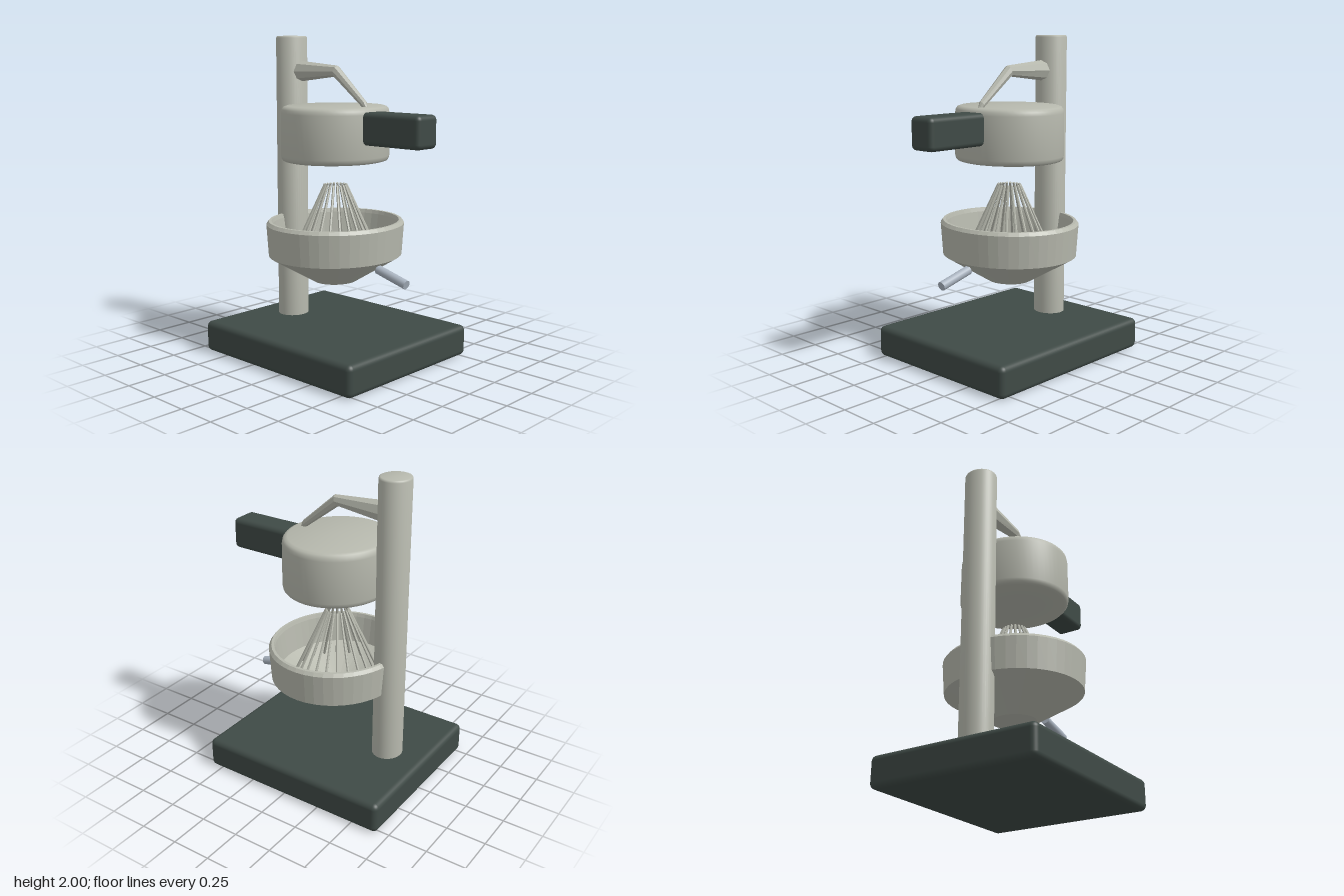
import * as THREE from 'three';
import { toCreasedNormals } from 'three/addons/utils/BufferGeometryUtils.js';
import { RoundedBoxGeometry } from 'three/addons/geometries/RoundedBoxGeometry.js';

const Z_SQUASH = 0.93; // round parts are slightly oval, shallower in z
const AXIS_Z = -0.045; // shared axis of bowl, reamer and press head

export function createModel() {
  const model = new THREE.Group();
  const metal = new THREE.MeshStandardMaterial({ color: 0xb6b8ad });
  const metalFlat = new THREE.MeshStandardMaterial({ color: 0xb6b8ad, flatShading: true });
  const dark = new THREE.MeshStandardMaterial({ color: 0x3f4a46 });
  const steel = new THREE.MeshStandardMaterial({ color: 0xa9b3bf });

  const add = (name, geometry, material, x = 0, y = 0, z = 0, parent = model) => {
    const mesh = new THREE.Mesh(geometry, material);
    mesh.name = name;
    mesh.position.set(x, y, z);
    parent.add(mesh);
    return mesh;
  };
  const turned = (name, profile, segments, crease, material, z) => {
    const points = profile.map(([r, y]) => new THREE.Vector2(r, y));
    const lathe = toCreasedNormals(new THREE.LatheGeometry(points, segments), crease);
    add(name, lathe, material, 0, 0, z).scale.z = Z_SQUASH;
  };
  // Cylinder running between two points
  const rod = (name, a, b, ra, rb, sides, material, parent = model) => {
    const axis = b.clone().sub(a);
    const mid = a.clone().add(b).multiplyScalar(0.5);
    const mesh = add(name, new THREE.CylinderGeometry(rb, ra, axis.length(), sides),
      material, mid.x, mid.y, mid.z, parent);
    mesh.quaternion.setFromUnitVectors(new THREE.Vector3(0, 1, 0), axis.normalize());
  };

  // Base plate and press handle
  add('base', new RoundedBoxGeometry(1.085, 0.195, 1.265, 4, 0.035), dark, 0, 0.0975, -0.05);
  add('pressHandle', new RoundedBoxGeometry(0.178, 0.195, 0.5, 4, 0.03), dark, 0, 1.455, 0.43);

  // Upright column with a small edge bevel
  turned('column', [[0, 0.15], [0.102, 0.15], [0.102, 1.988], [0.098, 1.997], [0.09, 2], [0, 2]],
    40, 0.9, metal, -0.43);

  // Press head with rounded edges
  turned('pressHead', [
    [0, 1.24], [0.315, 1.24], [0.333, 1.245], [0.343, 1.256], [0.347, 1.275],
    [0.345, 1.535], [0.341, 1.557], [0.33, 1.571], [0.31, 1.578], [0, 1.58],
  ], 56, 1.0, metal, AXIS_Z);

  // Bowl: conical underside, straight wall, bevelled rim and sloping floor
  turned('bowl', [
    [0, 0.48], [0.14, 0.48], [0.432, 0.65], [0.446, 0.848], [0.43, 0.868],
    [0.412, 0.868], [0.405, 0.845], [0.378, 0.675], [0.12, 0.56], [0, 0.56],
  ], 44, 0.3, metalFlat, AXIS_Z);

  // Reamer: a cone of slanted bars
  const reamer = new THREE.Group();
  reamer.name = 'reamer';
  reamer.position.z = AXIS_Z;
  reamer.scale.z = Z_SQUASH;
  const BARS = 20;
  for (let i = 0; i < BARS; i++) {
    const t = (i / BARS) * Math.PI * 2;
    const at = (r, y) => new THREE.Vector3(Math.sin(t) * r, y, Math.cos(t) * r);
    rod('reamerBar', at(0.282, 0.64), at(0.07, 1.088), 0.01, 0.008, 6, metalFlat, reamer);
  }
  model.add(reamer);

  // Spout
  rod('spout', new THREE.Vector3(0, 0.605, 0.312), new THREE.Vector3(0, 0.547, 0.533),
    0.028, 0.028, 20, steel);

  // Bent, tapering lever arm: [y, z, radius, tilt of the cross-section]
  const stations = [[1.78, -0.37, 0.067, 0], [1.785, -0.04, 0.036, 0.35],
    [1.595, 0.19, 0.022, 0.7], [1.565, 0.21, 0.013, 0.8]];
  const SIDES = 8;
  const positions = [], indices = [];
  stations.forEach(([y, z, r, tilt], s) => {
    for (let i = 0; i < SIDES; i++) {
      const a = (i / SIDES) * Math.PI * 2;
      const up = Math.sin(a) * r;
      positions.push(Math.cos(a) * r * 0.9, y + up * Math.cos(tilt), z + up * Math.sin(tilt));
      if (s === 0) continue;
      const n = (i + 1) % SIDES, p = (s - 1) * SIDES, q = s * SIDES;
      indices.push(p + i, p + n, q + i, p + n, q + n, q + i);
    }
  });
  for (let i = 1; i < SIDES - 1; i++) {
    const e = (stations.length - 1) * SIDES;
    indices.push(0, i + 1, i, e, e + i, e + i + 1);
  }
  const arm = new THREE.BufferGeometry();
  arm.setAttribute('position', new THREE.Float32BufferAttribute(positions, 3));
  arm.setIndex(indices);
  arm.computeVertexNormals();
  add('leverArm', arm, metalFlat);

  return model;
}
